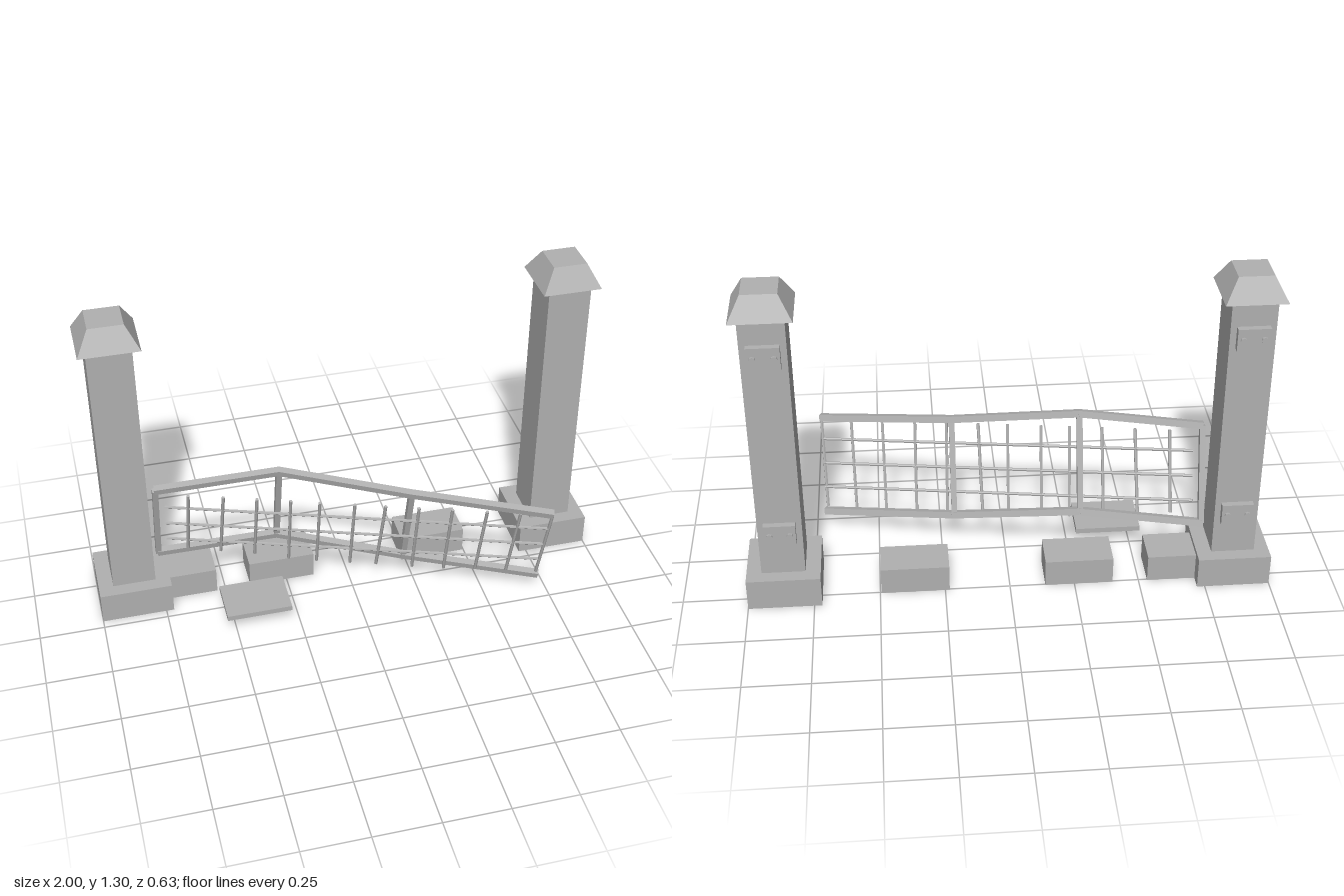
import * as THREE from 'three';

export function createModel() {
  const model = new THREE.Group();
  const stone = new THREE.MeshStandardMaterial({ color: 0xb0b0b0 });
  stone.name = 'grey';
  stone.flatShading = true;

  const V = (x, y, z) => new THREE.Vector3(x, y, z);

  function add(parent, name, geometry, x = 0, y = 0, z = 0) {
    const mesh = new THREE.Mesh(geometry, stone);
    mesh.name = name;
    mesh.position.set(x, y, z);
    parent.add(mesh);
    return mesh;
  }

  // Box given by its extents on each axis
  function block(parent, name, x0, x1, y0, y1, z0, z1) {
    return add(parent, name, new THREE.BoxGeometry(x1 - x0, y1 - y0, z1 - z0),
      (x0 + x1) / 2, (y0 + y1) / 2, (z0 + z1) / 2);
  }

  // Square bar between two points, its section turned to the panel's lean
  const panelUp = V(0, 0.385, 0.1).normalize();
  function beam(parent, name, a, b, size, extend = 0) {
    const mid = a.clone().add(b).multiplyScalar(0.5);
    const mesh = add(parent, name,
      new THREE.BoxGeometry(size, size, a.distanceTo(b) + extend), mid.x, mid.y, mid.z);
    const along = b.clone().sub(a).normalize();
    mesh.up.copy(Math.abs(along.dot(panelUp)) > 0.9 ? V(1, 0, 0) : panelUp);
    mesh.lookAt(b);
  }

  // Thin round rod between two points
  function rod(parent, name, a, b, radius) {
    const mid = a.clone().add(b).multiplyScalar(0.5);
    const mesh = add(parent, name,
      new THREE.CylinderGeometry(radius, radius, a.distanceTo(b), 6), mid.x, mid.y, mid.z);
    mesh.quaternion.setFromUnitVectors(V(0, 1, 0), b.clone().sub(a).normalize());
  }

  // Gate pillars: footing, shaft, tapered cap and two hinge plates at the back
  for (const side of [-1, 1]) {
    const pillar = new THREE.Group();
    pillar.name = side < 0 ? 'rightPillar' : 'leftPillar';
    pillar.position.set(side * 0.86, 0, -0.173);
    model.add(pillar);
    block(pillar, 'footing', -0.14, 0.14, 0, 0.126, -0.138, 0.138);
    block(pillar, 'shaft', -0.083, 0.083, 0.126, 1.208, -0.085, 0.085);
    const cap = new THREE.CylinderGeometry(0.065 * Math.SQRT2, 0.113 * Math.SQRT2, 0.089, 4);
    cap.rotateY(Math.PI / 4);
    add(pillar, 'cap', cap, 0, 1.252, 0);
    for (const y of [0.312, 1.067]) {
      block(pillar, 'hingePlate', -0.06, 0.06, y - 0.043, y + 0.043, -0.109, -0.084);
      for (const x of [-0.038, 0.038]) {
        const bolt = new THREE.CylinderGeometry(0.012, 0.012, 0.012, 8);
        bolt.rotateX(Math.PI / 2);
        add(pillar, 'bolt', bolt, x, y, -0.111);
      }
    }
  }

  // Foundation blocks and a loose slab
  for (const x of [-0.665, -0.268, 0.364]) {
    block(model, 'foundationBlock', x - 0.131, x + 0.131, 0, 0.108, -0.254, -0.104);
  }
  block(model, 'looseSlab', -0.536, -0.282, 0.07, 0.091, -0.025, 0.158);

  // Fallen fence panel: bent rails joined by uprights
  const panel = new THREE.Group();
  panel.name = 'fencePanel';
  model.add(panel);
  const drop = V(0, -0.383, -0.1);
  const top = [V(-0.748, 0.583, -0.066), V(-0.283, 0.625, -0.012),
    V(0.198, 0.533, 0.132), V(0.71, 0.463, 0.298)];
  const bottom = top.map(p => p.clone().add(drop));
  for (let i = 0; i < 3; i++) {
    beam(panel, 'topRail', top[i], top[i + 1], 0.026, 0.006);
    beam(panel, 'bottomRail', bottom[i], bottom[i + 1], 0.026, 0.006);
    beam(panel, 'upright', top[i], bottom[i], 0.022);
  }

  // Straight mesh sheet of three wires and twelve slightly crooked bars
  for (let i = 0; i < 3; i++) {
    rod(panel, 'meshWire', V(-0.715, 0.481 - i * 0.098, -0.085 - i * 0.026),
      V(0.708, 0.375 - i * 0.098, 0.277 - i * 0.026), 0.006);
  }
  const sheetZ = (x, y) => {
    const t = (x + 0.715) / 1.423;
    return -0.085 + 0.362 * t + 0.26 * (y - (0.481 - 0.106 * t));
  };
  const topX = [-0.628, -0.5, -0.377, -0.254, -0.147, -0.019, 0.094, 0.217, 0.34, 0.468, 0.591, 0.709];
  const lean = [-0.006, -0.01, -0.004, 0.003, 0.003, 0.003, -0.01, 0.006, 0.005, -0.002, -0.006, -0.008];
  const footY = [0.228, 0.212, 0.196, 0.168, 0.156, 0.146, 0.138, 0.124, 0.114, 0.116, 0.108, 0.1];
  topX.forEach((x, i) => {
    const y = 0.552 - 0.0085 * i;
    const footX = x + lean[i];
    rod(panel, 'meshBar', V(x, y, sheetZ(x, y)),
      V(footX, footY[i], sheetZ(footX, footY[i])), 0.0065);
  });

  return model;
}
